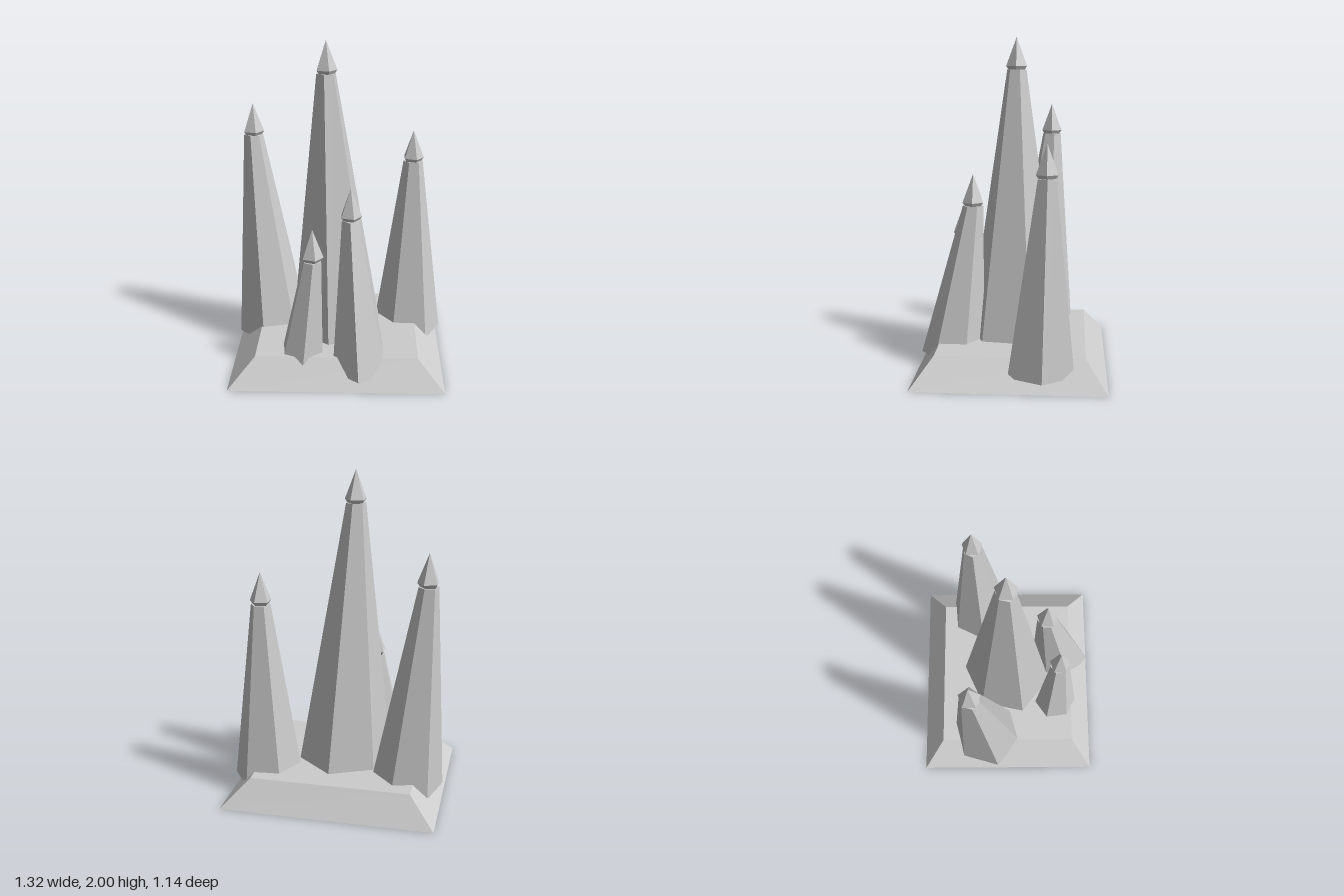
import * as THREE from 'three';

const stone = new THREE.MeshStandardMaterial({ color: 0xcccccc });
stone.name = 'paleStone';

// Closed solid between two rings of [x, z] points, counter-clockwise from above.
function loft(lower, y0, upper, y1) {
  const pos = [];
  const n = lower.length;
  const lo = i => [lower[i % n][0], y0, lower[i % n][1]];
  const up = i => [upper[i % n][0], y1, upper[i % n][1]];
  for (let i = 0; i < n; i++) {
    pos.push(...lo(i), ...lo(i + 1), ...up(i + 1));
    pos.push(...lo(i), ...up(i + 1), ...up(i));
    if (i > 0 && i < n - 1) {
      pos.push(...up(0), ...up(i), ...up(i + 1));
      pos.push(...lo(0), ...lo(i + 1), ...lo(i));
    }
  }
  const g = new THREE.BufferGeometry();
  g.setAttribute('position', new THREE.Float32BufferAttribute(pos, 3));
  g.computeVertexNormals();
  return g;
}

function faceted(geometry) {
  const g = geometry.toNonIndexed();
  g.computeVertexNormals();
  return g;
}

function add(parent, name, geometry) {
  const mesh = new THREE.Mesh(geometry, stone);
  mesh.name = name;
  parent.add(mesh);
  return mesh;
}

const rect = (x0, x1, z0, z1) => [[x0, z0], [x0, z1], [x1, z1], [x1, z0]];

// Leaning six-sided shaft with a five-sided pointed cap.
const FOOT = 0.065, TIP_RADIUS = 0.06, CAP_RADIUS = 0.067, CAP_HEIGHT = 0.175, COLLAR = 0.022;

function spire(name, foot, x, ringY, z) {
  const group = new THREE.Group();
  group.name = name;
  const cx = foot.reduce((s, p) => s + p[0], 0) / foot.length;
  const cz = foot.reduce((s, p) => s + p[1], 0) / foot.length;
  const mean = foot.reduce((s, p) => s + Math.hypot(p[0] - cx, p[1] - cz), 0) / foot.length;
  const k = TIP_RADIUS / mean;
  const head = foot.map(p => [x + (p[0] - cx) * k, z + (p[1] - cz) * k]);
  add(group, 'shaft', loft(foot, FOOT, head, ringY - COLLAR));

  const cap = new THREE.ConeGeometry(CAP_RADIUS, CAP_HEIGHT, 5, 1, false, Math.PI / 2);
  add(group, 'cap', faceted(cap)).position.set(x, ringY + CAP_HEIGHT / 2, z);
  const collar = new THREE.CylinderGeometry(CAP_RADIUS, 0.052, COLLAR, 5, 1, false, Math.PI / 2);
  add(group, 'collar', faceted(collar)).position.set(x, ringY - COLLAR / 2, z);
  return group;
}

export function createModel() {
  const model = new THREE.Group();
  model.name = 'spireCluster';

  // Sloped plinth
  add(model, 'plinth', loft(
    rect(-0.66, 0.645, -0.573, 0.57), 0,
    rect(-0.5, 0.485, -0.445, 0.44), 0.163));

  // Spires: foot outline, then the cap ring position
  model.add(
    spire('tallSpire',
      [[-0.304, 0.108], [-0.06, 0.303], [0.23, 0.193], [0.273, -0.112], [0.035, -0.31], [-0.24, -0.186]],
      -0.08, 1.825, -0.01),
    spire('backRightSpire',
      [[-0.655, -0.07], [-0.485, 0.083], [-0.28, 0.03], [-0.216, -0.204], [-0.368, -0.363], [-0.588, -0.306]],
      -0.547, 1.395, -0.218),
    spire('backLeftSpire',
      [[0.223, -0.168], [0.343, -0.005], [0.56, 0.005], [0.66, -0.196], [0.535, -0.38], [0.319, -0.363]],
      0.458, 1.23, -0.215),
    spire('frontLeftSpire',
      [[-0.03, 0.44], [0.127, 0.568], [0.29, 0.465], [0.293, 0.278], [0.13, 0.178], [-0.022, 0.282]],
      0.073, 1.003, 0.247),
    spire('frontRightSpire',
      [[-0.361, 0.264], [-0.343, 0.416], [-0.212, 0.48], [-0.092, 0.384], [-0.103, 0.243], [-0.241, 0.179]],
      -0.152, 0.773, 0.333));
  return model;
}
